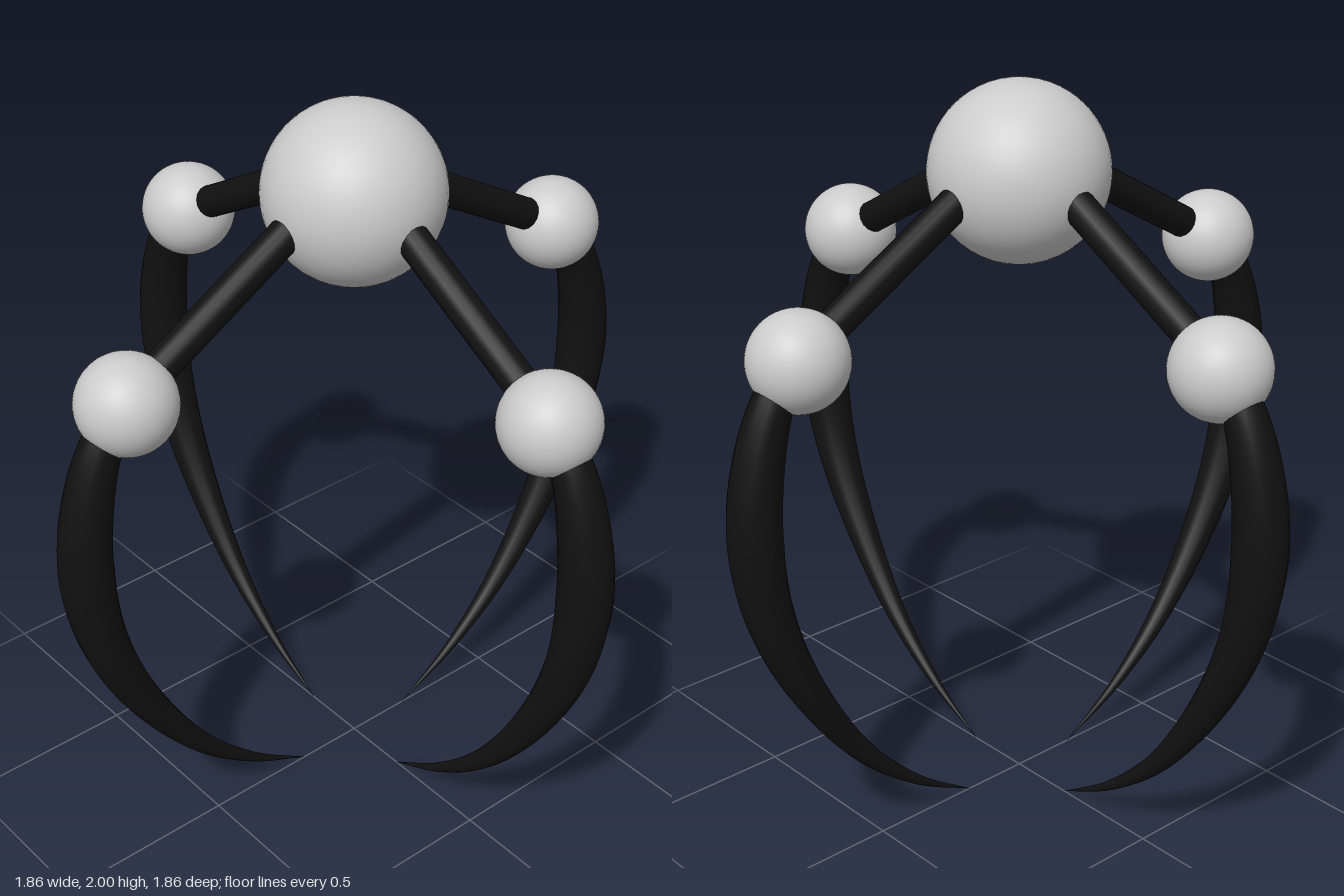
import * as THREE from 'three';

const grey = new THREE.MeshStandardMaterial({ color: 0xcccccc });
const black = new THREE.MeshStandardMaterial({ color: 0x111111 });

const V = (x, y) => new THREE.Vector3(x, y, 0);

function ball(name, radius, x, y) {
  const mesh = new THREE.Mesh(new THREE.SphereGeometry(radius, 48, 32), grey);
  mesh.name = name;
  mesh.position.set(x, y, 0);
  return mesh;
}

// Straight rod between two points
function rod(name, a, b, radius) {
  const mesh = new THREE.Mesh(new THREE.CylinderGeometry(radius, radius, a.distanceTo(b), 16), black);
  mesh.name = name;
  mesh.position.copy(a).lerp(b, 0.5);
  mesh.quaternion.setFromUnitVectors(new THREE.Vector3(0, 1, 0), b.clone().sub(a).normalize());
  return mesh;
}

// Tube whose rings are scaled to follow a radius profile
function taperedTube(curve, radiusAt, segments, sides) {
  const geo = new THREE.TubeGeometry(curve, segments, 1, sides);
  const pos = geo.attributes.position;
  const p = new THREE.Vector3();
  for (let i = 0; i <= segments; i++) {
    const centre = curve.getPointAt(i / segments);
    const r = radiusAt(i / segments);
    for (let j = 0; j <= sides; j++) {
      const k = i * (sides + 1) + j;
      p.fromBufferAttribute(pos, k).sub(centre).multiplyScalar(r).add(centre);
      pos.setXYZ(k, p.x, p.y, p.z);
    }
  }
  return geo;
}

// Curved claw: swells below the joint, then narrows to a point
function claw() {
  const path = new THREE.CatmullRomCurve3([
    V(0.735, 1.43), V(0.79, 1.352), V(0.836, 1.225), V(0.862, 1.035), V(0.836, 0.807),
    V(0.742, 0.563), V(0.558, 0.283), V(0.375, 0.114), V(0.19, 0.003),
  ], false, 'centripetal');
  const peak = 0.26;
  const radiusAt = (t) => t < peak
    ? 0.045 + 0.025 * Math.sin((t / peak) * Math.PI / 2)
    : 0.07 * Math.pow(1 - Math.pow((t - peak) / (1 - peak), 1.25), 1.05) + 0.0005;
  const mesh = new THREE.Mesh(taperedTube(path, radiusAt, 64, 16), black);
  mesh.name = 'claw';
  return mesh;
}

export function createModel() {
  const model = new THREE.Group();
  model.name = 'fourClawGrabber';
  model.add(ball('hub', 0.236, 0, 1.764));

  // Four identical legs around the hub
  for (let i = 0; i < 4; i++) {
    const leg = new THREE.Group();
    leg.name = 'leg' + (i + 1);
    leg.add(
      rod('arm', V(0.1, 1.79), V(0.66, 1.468), 0.044),
      ball('joint', 0.129, 0.71, 1.437),
      claw(),
    );
    leg.rotation.y = i * Math.PI / 2;
    model.add(leg);
  }
  return model;
}
